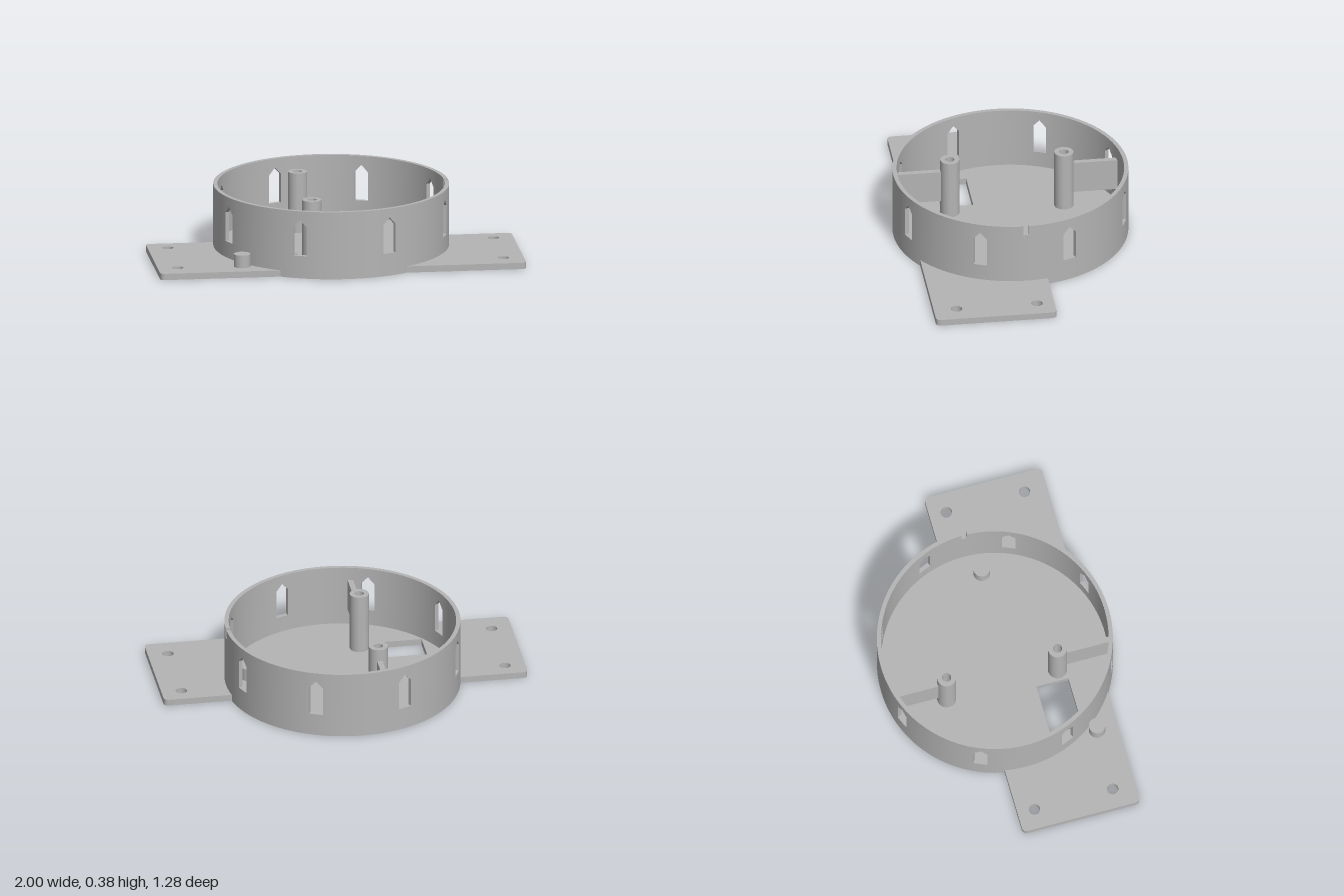
import * as THREE from 'three';
import { mergeGeometries, toCreasedNormals } from 'three/addons/utils/BufferGeometryUtils.js';

const R_OUT = 0.64, R_IN = 0.617, WALL_TOP = 0.375, FLOOR = 0.035, RECESS = 0.008;

// Curved wall piece; columns are [angle, low y, high y]
function wallStrip(columns) {
  const pos = [];
  const p = (r, t, y) => [r * Math.cos(t), y, r * Math.sin(t)];
  const quad = (a, b, c, d) => pos.push(...a, ...b, ...c, ...a, ...c, ...d);
  const ring = columns.map(([t, lo, hi]) => ({
    ol: p(R_OUT, t, lo), oh: p(R_OUT, t, hi), il: p(R_IN, t, lo), ih: p(R_IN, t, hi),
  }));
  for (let i = 0; i < ring.length - 1; i++) {
    const a = ring[i], b = ring[i + 1];
    quad(b.ol, a.ol, a.oh, b.oh);
    quad(a.il, b.il, b.ih, a.ih);
    quad(b.oh, a.oh, a.ih, b.ih);
    quad(a.ol, b.ol, b.il, a.il);
  }
  const s = ring[0], e = ring[ring.length - 1];
  quad(s.ol, s.il, s.ih, s.oh);
  quad(e.il, e.ol, e.oh, e.ih);
  const g = new THREE.BufferGeometry();
  g.setAttribute('position', new THREE.Float32BufferAttribute(pos, 3));
  return g;
}

function evenStrip(t0, t1, lo, hi) {
  const n = Math.max(2, Math.ceil((t1 - t0) / 0.04));
  return wallStrip(Array.from({ length: n + 1 }, (_, i) => [t0 + (t1 - t0) * i / n, lo, hi]));
}

// Round wall with eight pointed windows and one cable notch
function wallGeometry() {
  const parts = [], step = Math.PI / 4, half = 0.06, notch = 0.024;
  for (let k = 0; k < 8; k++) {
    const c = k * step, w = c + step / 2;
    const from = c - step / 2 + half, to = w - half;
    if (k === 0) {
      parts.push(evenStrip(from, -notch, FLOOR, WALL_TOP), evenStrip(notch, to, FLOOR, WALL_TOP));
      parts.push(evenStrip(-notch, notch, FLOOR, 0.32));
    } else {
      parts.push(evenStrip(from, to, FLOOR, WALL_TOP));
    }
    parts.push(evenStrip(w - half, w + half, FLOOR, 0.125));
    parts.push(wallStrip([[w - half, 0.285, WALL_TOP], [w, 0.325, WALL_TOP], [w + half, 0.285, WALL_TOP]]));
  }
  return toCreasedNormals(mergeGeometries(parts), 0.4);
}

const pegs = [[0.5, 0.065], [-0.54, 0.425]];

function circleHole(x, z, r) {
  const h = new THREE.Path();
  h.absarc(x, z, r, 0, Math.PI * 2, true);
  return h;
}

function rectHole(x0, x1, z0, z1) {
  return new THREE.Path([[x0, z0], [x0, z1], [x1, z1], [x1, z0]].map(([x, z]) => new THREE.Vector2(x, z)));
}

// Round floor joined with the two mounting wings, drawn in x and z
function baseShape() {
  const z0 = -0.12, z1 = 0.54, c = 0.03;
  const back = Math.asin(z0 / R_OUT), front = Math.asin(z1 / R_OUT);
  const s = new THREE.Shape();
  s.moveTo(R_OUT * Math.cos(back), z0);
  s.lineTo(1 - c, z0);
  s.quadraticCurveTo(1, z0, 1, z0 + c);
  s.lineTo(1, z1 - c);
  s.quadraticCurveTo(1, z1, 1 - c, z1);
  s.lineTo(R_OUT * Math.cos(front), z1);
  s.absarc(0, 0, R_OUT, front, Math.PI - front, false);
  s.lineTo(-1 + c, z1);
  s.quadraticCurveTo(-1, z1, -1, z1 - c);
  s.lineTo(-1, z0 + c);
  s.quadraticCurveTo(-1, z0, -1 + c, z0);
  s.lineTo(-R_OUT * Math.cos(back), z0);
  s.absarc(0, 0, R_OUT, Math.PI - back, Math.PI * 2 + back, false);
  for (const x of [-0.89, 0.89]) for (const z of [-0.025, 0.415]) s.holes.push(circleHole(x, z, 0.031));
  for (const [x, z] of pegs) s.holes.push(circleHole(x, z, 0.01));
  s.holes.push(rectHole(-0.495, -0.21, 0.175, 0.355));
  return s;
}

function slab(shape, y0, y1) {
  const g = new THREE.ExtrudeGeometry(shape, { depth: y1 - y0, bevelEnabled: false, curveSegments: 32 });
  g.rotateX(Math.PI / 2).translate(0, y1, 0);
  return toCreasedNormals(g, 0.4);
}

export function createModel() {
  const group = new THREE.Group();
  group.name = 'roundHousing';
  const grey = new THREE.MeshStandardMaterial({ color: 0xb4b4b4 });
  grey.name = 'grey plastic';
  const add = (name, geometry, x = 0, y = 0, z = 0) => {
    const m = new THREE.Mesh(geometry, grey);
    m.name = name;
    m.position.set(x, y, z);
    group.add(m);
  };

  // Base in two layers, the lower one opened for the shallow recess underneath
  const lower = baseShape();
  lower.holes.push(rectHole(-0.44, 0.38, -0.032, 0.142));
  add('baseUnderside', slab(lower, 0, RECESS));
  add('basePlate', slab(baseShape(), RECESS, FLOOR));

  add('wall', wallGeometry());

  // Locating pegs
  for (const [x, z] of pegs) {
    add('peg', new THREE.CylinderGeometry(0.045, 0.045, 0.07, 40), x, FLOOR + 0.035, z);
  }

  // Screw posts with blind bores, each braced to the wall by a rib
  const profile = [[0.052, FLOOR], [0.052, 0.367], [0.025, 0.367], [0.025, 0.15], [0, 0.15]]
    .map(([r, y]) => new THREE.Vector2(r, y));
  const post = toCreasedNormals(new THREE.LatheGeometry(profile, 40), 0.4);
  for (const side of [-1, 1]) {
    add('screwPost', post, -0.145, 0, side * 0.312);
    add('postRib', new THREE.BoxGeometry(0.03, 0.18, 0.265), -0.145, 0.21, side * 0.4825);
  }
  return group;
}
